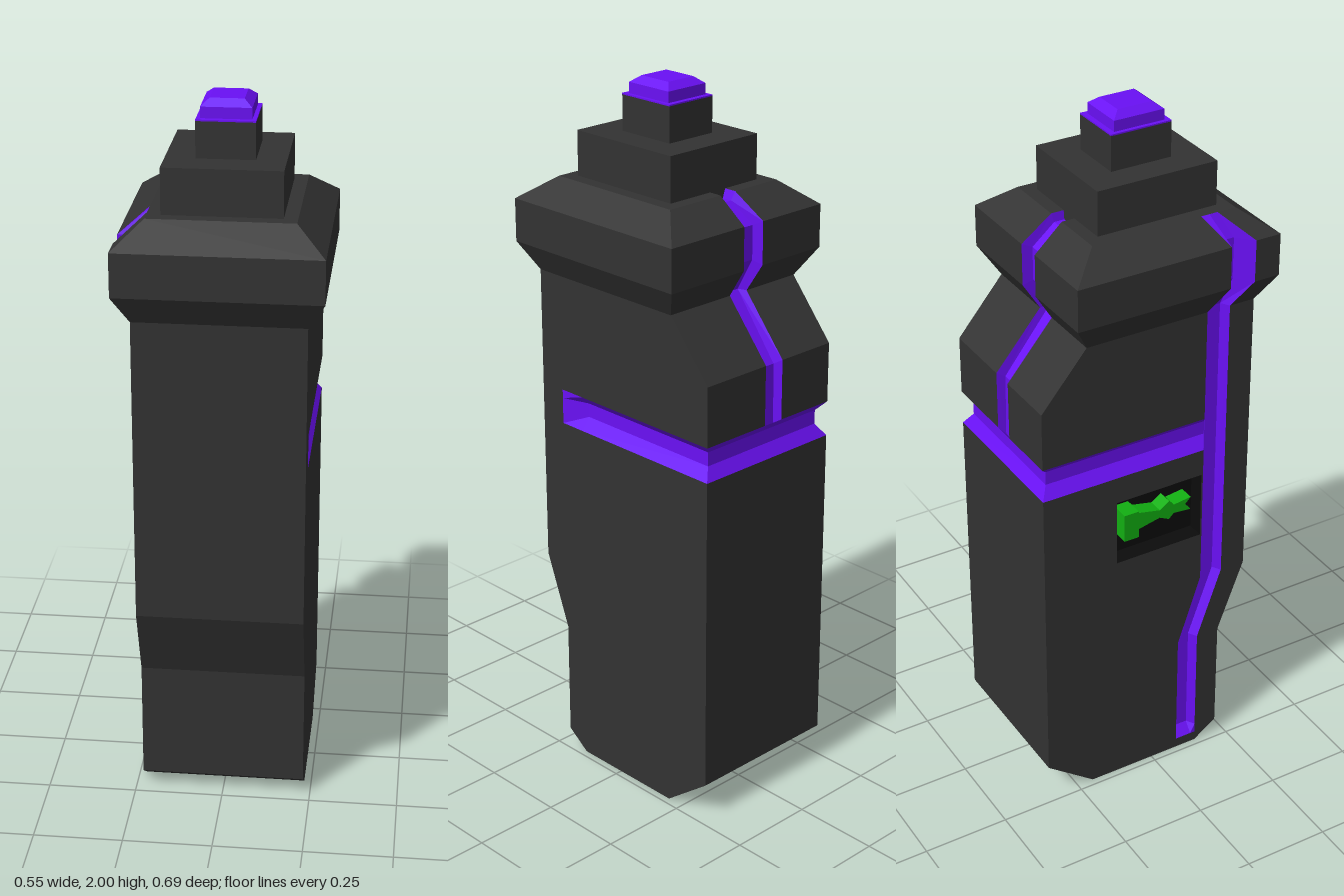
import * as THREE from 'three';

const mat = (color, side = THREE.DoubleSide) =>
  new THREE.MeshStandardMaterial({ color, flatShading: true, side });
const DARK = mat(0x333333), PURPLE = mat(0x6a10f5), GREEN = mat(0x12b012);
const BLACK = mat(0x0c0c0c, THREE.BackSide);

// Faceted surface through rows of points
function loft(rows) {
  const pos = [];
  for (let i = 0; i < rows.length - 1; i++) {
    for (let j = 0; j < rows[i].length - 1; j++) {
      const a = rows[i][j], b = rows[i][j + 1], c = rows[i + 1][j + 1], d = rows[i + 1][j];
      pos.push(...a, ...b, ...c, ...a, ...c, ...d);
    }
  }
  const g = new THREE.BufferGeometry();
  g.setAttribute('position', new THREE.Float32BufferAttribute(pos, 3));
  g.computeVertexNormals();
  return g;
}

const shapeOf = (pts) => new THREE.Shape(pts.map(([u, v]) => new THREE.Vector2(u, v)));

// Flat panel whose outline is placed in space by a mapping rule
function panel(pts, map, hole) {
  const shape = shapeOf(pts);
  if (hole) shape.holes.push(shapeOf(hole));
  const g = new THREE.ShapeGeometry(shape).toNonIndexed();
  const p = g.attributes.position;
  for (let i = 0; i < p.count; i++) p.setXYZ(i, ...map(p.getX(i), p.getY(i)));
  g.computeVertexNormals();
  return g;
}

export function createModel() {
  const model = new THREE.Group();
  const add = (name, geometry, material = DARK) => {
    const m = new THREE.Mesh(geometry, material);
    m.name = name;
    model.add(m);
    return m;
  };
  const W = 0.23;

  // Body: front, base and lower back as one strip across the width; [z, y]
  const front = [[0.3, 1.46], [0.3, 0.6], [0.22, 0.39], [0.22, 0.05], [0.15, 0]];
  const back = [[-0.2, 0], [-0.345, 0.11], [-0.345, 1.03]];
  const upperBack = [[-0.345, 1.13], [-0.345, 1.3], [-0.21, 1.46]];
  const strip = (path, x0, x1) => loft(path.map(([z, y]) => [[x0, y, z], [x1, y, z]]));
  add('bodyShell', strip([...front, ...back], -W, W));
  add('upperBackRight', strip(upperBack, -W, -0.048));
  add('upperBackLeft', strip(upperBack, 0.015, W));

  // Body sides, cut away where the channels run
  add('leftSide', panel(
    [...front, ...back, [0.22, 1.03], [0.22, 1.13], ...upperBack],
    (z, y) => [W, y, z]));
  const rightMap = (z, y) => [-W, y, z];
  add('rightSide', panel(
    [...front, ...back, [0.155, 1.03], [0.155, 0.6], [0.085, 0.39], [0.085, 0.03],
      [0.15, 0.03], [0.15, 0.39], [0.225, 0.6], [0.225, 1.46]],
    rightMap, [[-0.12, 0.75], [-0.12, 0.95], [0.15, 0.95], [0.15, 0.75]]));
  add('rightSideUpper', panel([[0.155, 1.46], [0.155, 1.13], ...upperBack], rightMap));

  // Horizontal channel around the back; [outer x, outer z, floor x, floor z]
  const band = [
    [0.23, 0.22, 0.23, 0.22], [0.23, 0.14, 0.205, 0.14], [0.23, -0.345, 0.205, -0.323],
    [-0.23, -0.345, -0.205, -0.323], [-0.23, 0.155, -0.205, 0.17],
  ];
  add('bandChannel', loft(band.map(([xo, zo, xf, zf]) => [
    [xo, 1.03, zo], [xf, 1.065, zf], [xf, 1.105, zf], [xo, 1.13, zo],
  ])), PURPLE);

  // Vertical channel on the right side; [y, outer x, floor x, four z positions]
  const vertical = [
    [0.03, -0.23, -0.23, 0.085, 0.1, 0.135, 0.15],
    [0.06, -0.23, -0.205, 0.085, 0.1, 0.135, 0.15],
    [0.39, -0.23, -0.205, 0.085, 0.1, 0.135, 0.15],
    [0.6, -0.23, -0.205, 0.155, 0.17, 0.21, 0.225],
    [1.46, -0.23, -0.205, 0.155, 0.17, 0.21, 0.225],
    [1.54, -0.275, -0.23, 0.195, 0.195, 0.23, 0.27],
    [1.66, -0.275, -0.23, 0.195, 0.195, 0.23, 0.27],
    [1.725, -0.195, -0.195, 0.15, 0.175, 0.2, 0.2],
  ];
  add('sideChannel', loft(vertical.map(([y, xo, xf, a, b, c, d]) => [
    [xo, y, a], [xf, y, b], [xf, y, c], [xo, y, d],
  ])), PURPLE);

  // Vertical channel up the back; [outer z, outer y, floor z, floor y, x edge]
  const rear = [
    [-0.345, 1.13, -0.323, 1.105, -0.048], [-0.345, 1.3, -0.32, 1.285, -0.048],
    [-0.21, 1.46, -0.185, 1.46, -0.048], [-0.26, 1.54, -0.23, 1.55, -0.055],
    [-0.26, 1.66, -0.23, 1.645, -0.055], [-0.172, 1.725, -0.165, 1.7, -0.04],
    [-0.135, 1.725, -0.135, 1.7, -0.04],
  ];
  add('backChannel', loft(rear.map(([zo, yo, zf, yf, x]) => [
    [x, yo, zo], [x + 0.008, yf, zf], [0.012, yf, zf], [0.015, yo, zo],
  ])), PURPLE);

  // Collar rings; [y, half width, back z, front z, side gap from, to, back gap from]
  const collar = [
    [1.46, 0.23, -0.21, 0.3, 0.155, 0.225, -0.048],
    [1.54, 0.275, -0.26, 0.345, 0.195, 0.27, -0.055],
    [1.66, 0.275, -0.26, 0.345, 0.195, 0.27, -0.055],
    [1.725, 0.195, -0.172, 0.255, 0.15, 0.2, -0.04],
  ];
  add('collar', loft(collar.map(([y, w, zb, zf, s0, s1, b0]) => [
    [0.015, y, zb], [w, y, zb], [w, y, zf], [-w, y, zf], [-w, y, s1],
  ])));
  add('collarBackCorner', loft(collar.map(([y, w, zb, zf, s0, s1, b0]) => [
    [-w, y, s0], [-w, y, zb], [b0, y, zb],
  ])));
  add('collarTop', panel(
    [[-0.195, 0.255], [0.195, 0.255], [0.195, -0.172], [0.015, -0.172],
      [0.015, -0.135], [-0.04, -0.135], [-0.04, -0.172], [-0.195, -0.172]],
    (x, z) => [x, 1.725, z]));

  // Stepped top
  const tier = (name, w, z0, z1, y0, y1) => {
    const m = add(name, new THREE.BoxGeometry(2 * w, y1 - y0, z1 - z0));
    m.position.set(0, (y0 + y1) / 2, (z0 + z1) / 2);
  };
  tier('lowerStep', 0.158, -0.135, 0.22, 1.69, 1.85);
  tier('upperStep', 0.078, -0.048, 0.13, 1.85, 1.948);

  // Glowing cap with a chamfered top
  const ring = (y, w, z0, z1) =>
    [[-w, y, z0], [-w, y, z1], [w, y, z1], [w, y, z0], [-w, y, z0]];
  add('cap', loft([
    ring(1.948, 0.078, -0.048, 0.13), ring(1.952, 0.078, -0.048, 0.13),
    ring(1.952, 0.067, -0.033, 0.115), ring(1.982, 0.067, -0.033, 0.115),
    ring(2, 0.045, -0.01, 0.091), ring(2, 0, 0.04, 0.04),
  ]), PURPLE);

  // Recess on the right side with a small switch
  add('switchRecess', new THREE.BoxGeometry(0.05, 0.2, 0.27), BLACK)
    .position.set(-0.205, 0.85, 0.015);
  const key = new THREE.ExtrudeGeometry(shapeOf([
    [-0.1, 0.82], [-0.055, 0.82], [-0.05, 0.835], [0.02, 0.85], [0.05, 0.835],
    [0.065, 0.85], [0.12, 0.845], [0.1, 0.865], [0.12, 0.885], [0.065, 0.878],
    [0.05, 0.895], [0.02, 0.875], [-0.05, 0.89], [-0.055, 0.905], [-0.1, 0.905],
  ]), { depth: 0.045, bevelEnabled: false });
  key.rotateY(-Math.PI / 2);
  add('switch', key, GREEN).position.x = -0.18;
  const grip = add('switchGrip', new THREE.BoxGeometry(0.02, 0.085, 0.045), GREEN);
  grip.position.set(-0.228, 0.8625, -0.0775);

  return model;
}
